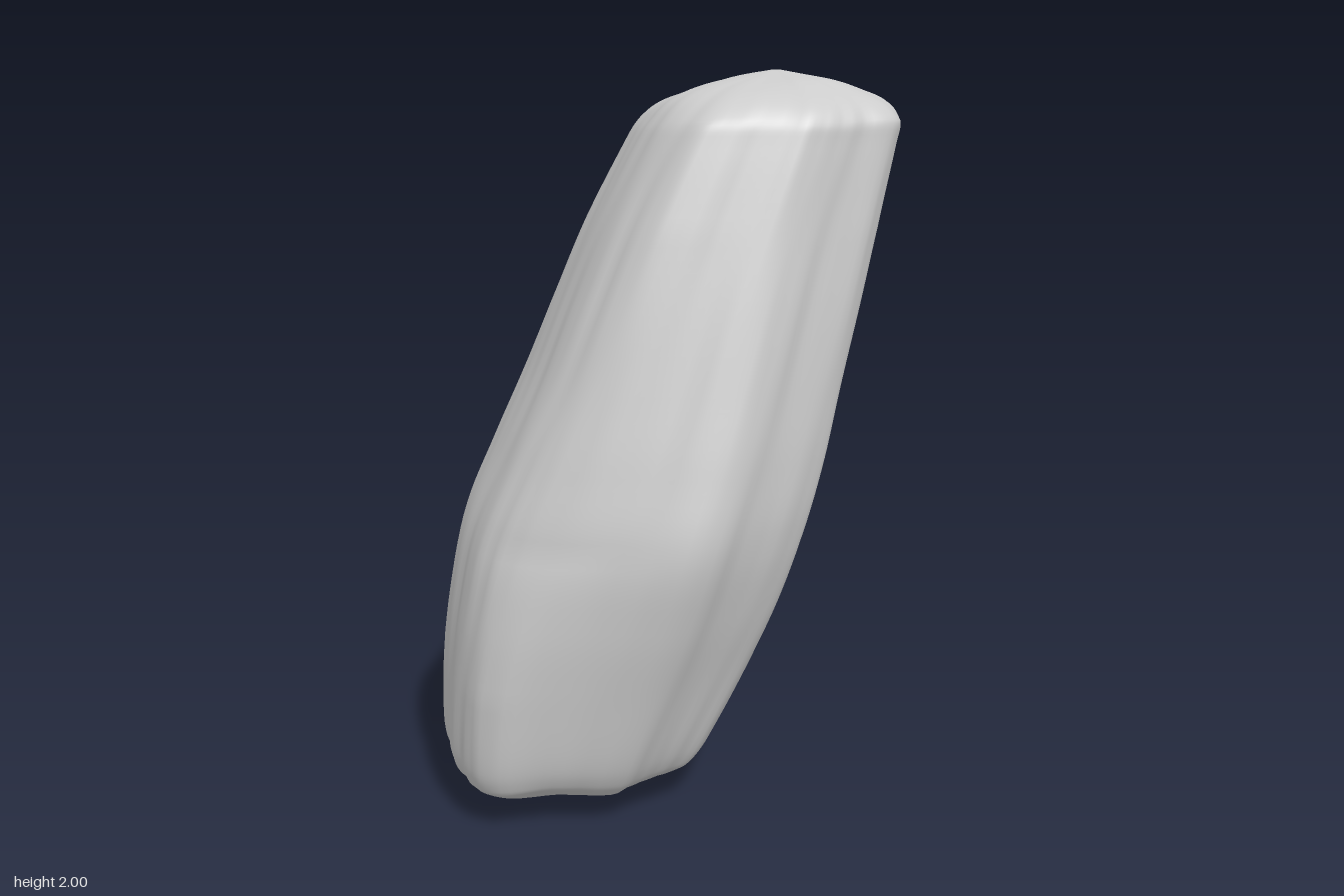
import * as THREE from 'three';

// Height, x minimum, x maximum, z back, z front of each cross-section
const SECTIONS = [
  [0, -0.26, -0.24, -0.04, -0.02],
  [0.03, -0.36, -0.15, -0.14, 0.1],
  [0.065, -0.49, -0.02, -0.25, 0.21],
  [0.1, -0.58, 0.06, -0.32, 0.265],
  [0.14, -0.612, 0.105, -0.365, 0.3],
  [0.22, -0.62, 0.145, -0.395, 0.335],
  [0.4, -0.61, 0.22, -0.425, 0.385],
  [0.6, -0.585, 0.29, -0.45, 0.44],
  [0.8, -0.54, 0.345, -0.475, 0.477],
  [1.0, -0.45, 0.4, -0.455, 0.455],
  [1.2, -0.355, 0.445, -0.43, 0.42],
  [1.4, -0.27, 0.495, -0.405, 0.385],
  [1.6, -0.18, 0.545, -0.385, 0.35],
  [1.8, -0.075, 0.6, -0.36, 0.32],
  [1.87, -0.03, 0.617, -0.34, 0.305],
  [1.92, 0.025, 0.6, -0.29, 0.26],
  [1.955, 0.11, 0.52, -0.21, 0.18],
  [1.98, 0.2, 0.43, -0.13, 0.1],
  [2.0, 0.31, 0.33, -0.03, -0.01],
];

// Height, then the four corners as fractions of half width and half depth:
// front +x, front -x, back -x, back +x
const CORNERS = [
  [0, [0.65, 0.68], [0.72, 0.72], [0.7, 0.72], [0.68, 0.72]],
  [0.12, [0.75, 0.72], [0.85, 0.8], [0.82, 0.8], [0.8, 0.8]],
  [0.4, [0.8, 0.7], [0.87, 0.72], [0.85, 0.76], [0.85, 0.78]],
  [0.8, [0.86, 0.67], [0.8, 0.59], [0.82, 0.69], [0.87, 0.71]],
  [1.2, [0.86, 0.73], [0.79, 0.69], [0.81, 0.76], [0.87, 0.78]],
  [1.6, [0.86, 0.78], [0.78, 0.78], [0.8, 0.81], [0.87, 0.83]],
  [1.87, [0.85, 0.78], [0.77, 0.8], [0.78, 0.8], [0.85, 0.82]],
  [2.0, [0.68, 0.7], [0.66, 0.7], [0.66, 0.7], [0.68, 0.7]],
];
const RIDGE = 0.1;

// Corners at a given height, blended between the rows above
function cornersAt(y) {
  let k = 0;
  while (k < CORNERS.length - 2 && y > CORNERS[k + 1][0]) k++;
  const low = CORNERS[k], high = CORNERS[k + 1];
  const t = THREE.MathUtils.clamp((y - low[0]) / (high[0] - low[0]), 0, 1);
  return [1, 2, 3, 4].map((i) => [0, 1].map((j) => THREE.MathUtils.lerp(low[i][j], high[i][j], t)));
}

// Closed six-sided outline with rounded corners, in units of half width and depth
function createOutline(y) {
  const [frontA, frontB, backB, backA] = cornersAt(y);
  const side = ([u, v], sx, sz) => [sx * (0.8 + 0.2 * u), sz * 0.6 * v];
  const corner = ([u, v], sx, sz) => [sx * u, sz * v];
  const slope = ([u, v], sx, sz, ridge) => [(sx * u + ridge) / 2, sz * ((1 + v) / 2 + 0.02)];
  const points = [
    [1, 0], side(frontA, 1, 1), corner(frontA, 1, 1), slope(frontA, 1, 1, RIDGE),
    [RIDGE, 1], slope(frontB, -1, 1, RIDGE), corner(frontB, -1, 1), side(frontB, -1, 1),
    [-1, 0], side(backB, -1, -1), corner(backB, -1, -1), slope(backB, -1, -1, 0),
    [0, -1], slope(backA, 1, -1, 0), corner(backA, 1, -1), side(backA, 1, -1),
  ];
  return new THREE.CatmullRomCurve3(
    points.map(([u, v]) => new THREE.Vector3(u, 0, v)), true);
}

// Long, shallow weathering grooves that run up the stone
function grooves(a, y) {
  return 0.002 * Math.sin(9 * a + 1.5 * Math.sin(2 * y))
    + 0.002 * Math.sin(17 * a + 2 * y + 1)
    + 0.002 * Math.sin(29 * a - 1.7 * y) * Math.cos(5 * y + 2 * a);
}

// Low lumps on the two end caps
function lumps(x, z) {
  return 0.005 * Math.sin(17 * x + 6 * z) * Math.cos(19 * z - 5 * x);
}

function createStoneGeometry(around = 112, rows = 108) {
  const curve = (i, j) => new THREE.CatmullRomCurve3(
    SECTIONS.map((s) => new THREE.Vector3(s[0], s[i], s[j])), false, 'catmullrom', 0.5);
  const widths = curve(1, 2);
  const depths = curve(3, 4);
  const positions = [];
  const indices = [];

  for (let r = 0; r <= rows; r++) {
    const w = widths.getPoint(r / rows);
    const d = depths.getPoint(r / rows);
    const y = w.x;
    const hx = (w.z - w.y) / 2, cx = (w.z + w.y) / 2;
    const hz = (d.z - d.y) / 2, cz = (d.z + d.y) / 2;
    const outline = createOutline(y);
    const fade = Math.min(1, hx / 0.3);
    const cap = Math.min(1, hx / 0.15) * THREE.MathUtils.smoothstep(Math.abs(y - 1), 0.75, 0.9);
    for (let i = 0; i < around; i++) {
      const p = outline.getPoint(i / around);
      const n = grooves((i / around) * Math.PI * 2, y) * fade;
      const x = cx + p.x * (hx + n);
      const z = cz + p.z * (hz + n);
      positions.push(x, y + lumps(x, z) * cap, z);
      if (r < rows) {
        const k = r * around + i;
        const next = r * around + ((i + 1) % around);
        indices.push(k, k + around, next, next, k + around, next + around);
      }
    }
  }
  // Close the tiny rings at both tips
  const top = rows * around;
  for (let i = 1; i < around - 1; i++) {
    indices.push(0, i, i + 1, top, top + i + 1, top + i);
  }

  const geometry = new THREE.BufferGeometry();
  geometry.setAttribute('position', new THREE.Float32BufferAttribute(positions, 3));
  geometry.setIndex(indices);
  geometry.computeVertexNormals();
  return geometry;
}

export function createModel() {
  const group = new THREE.Group();
  group.name = 'leaningRock';
  const stone = new THREE.Mesh(
    createStoneGeometry(),
    new THREE.MeshStandardMaterial({ color: 0xcccccc }));
  stone.name = 'stone';
  group.add(stone);
  return group;
}
